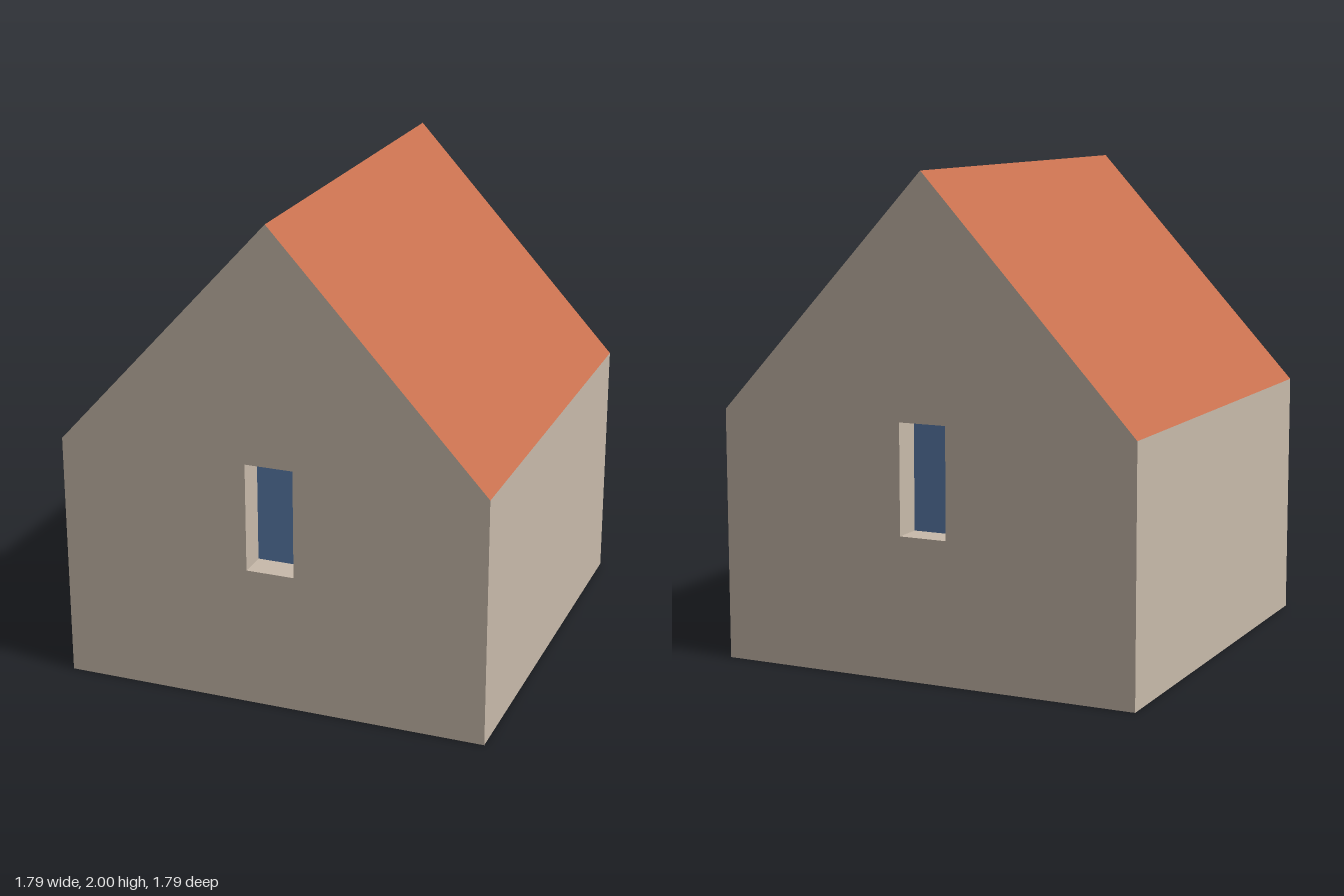
import * as THREE from 'three';

const W = 0.893, EAVE = 1.03, RIDGE = 2;            // half width, wall height, ridge height
const WIN = { half: 0.1, low: 0.58, high: 1.03, depth: 0.12 };

function material(name, color) {
  const m = new THREE.MeshStandardMaterial({ color, side: THREE.DoubleSide });
  m.name = name;
  return m;
}

export function createModel() {
  const wall = material('beige wall', 0xc9bbab);
  const tile = material('terracotta roof', 0xc6704e);
  const glass = material('blue glass', 0x5b7dab);

  const house = new THREE.Group();
  house.name = 'house';

  const add = (parent, name, geometry, mat, position, rotation = [0, 0, 0]) => {
    const mesh = new THREE.Mesh(geometry, mat);
    mesh.name = name;
    mesh.position.set(...position);
    mesh.rotation.set(...rotation);
    parent.add(mesh);
  };

  // Gable outline with a window opening
  const outline = [[-W, 0], [W, 0], [W, EAVE], [0, RIDGE], [-W, EAVE]];
  const gable = new THREE.Shape(outline.map(p => new THREE.Vector2(...p)));
  const { half, low, high, depth } = WIN;
  const hole = [[-half, low], [-half, high], [half, high], [half, low]];
  gable.holes.push(new THREE.Path(hole.map(p => new THREE.Vector2(...p))));
  const gableGeometry = new THREE.ShapeGeometry(gable);

  // Front and back ends, each with a recessed window
  const midY = (low + high) / 2, height = high - low;
  for (const [name, turn] of [['front', 0], ['back', Math.PI]]) {
    const end = new THREE.Group();
    end.name = name + 'End';
    end.rotation.y = turn;
    add(end, name + 'Gable', gableGeometry, wall, [0, 0, W]);
    add(end, name + 'WindowPane', new THREE.PlaneGeometry(2 * half, height), glass, [0, midY, W - depth]);
    for (const s of [-1, 1]) {
      add(end, name + 'WindowJamb', new THREE.PlaneGeometry(depth, height), wall,
        [s * half, midY, W - depth / 2], [0, -s * Math.PI / 2, 0]);
      add(end, name + (s < 0 ? 'WindowSill' : 'WindowHead'), new THREE.PlaneGeometry(2 * half, depth), wall,
        [0, s < 0 ? low : high, W - depth / 2], [s * Math.PI / 2, 0, 0]);
    }
    house.add(end);
  }

  // Side walls and roof slopes, open underneath
  const rise = RIDGE - EAVE, slope = Math.hypot(W, rise);
  for (const [name, s] of [['left', 1], ['right', -1]]) {
    add(house, name + 'Wall', new THREE.PlaneGeometry(2 * W, EAVE), wall,
      [s * W, EAVE / 2, 0], [0, s * Math.PI / 2, 0]);
    const roof = new THREE.PlaneGeometry(slope, 2 * W).rotateX(-Math.PI / 2);
    add(house, name + 'Roof', roof, tile,
      [s * W / 2, EAVE + rise / 2, 0], [0, 0, -s * Math.atan2(rise, W)]);
  }
  return house;
}
